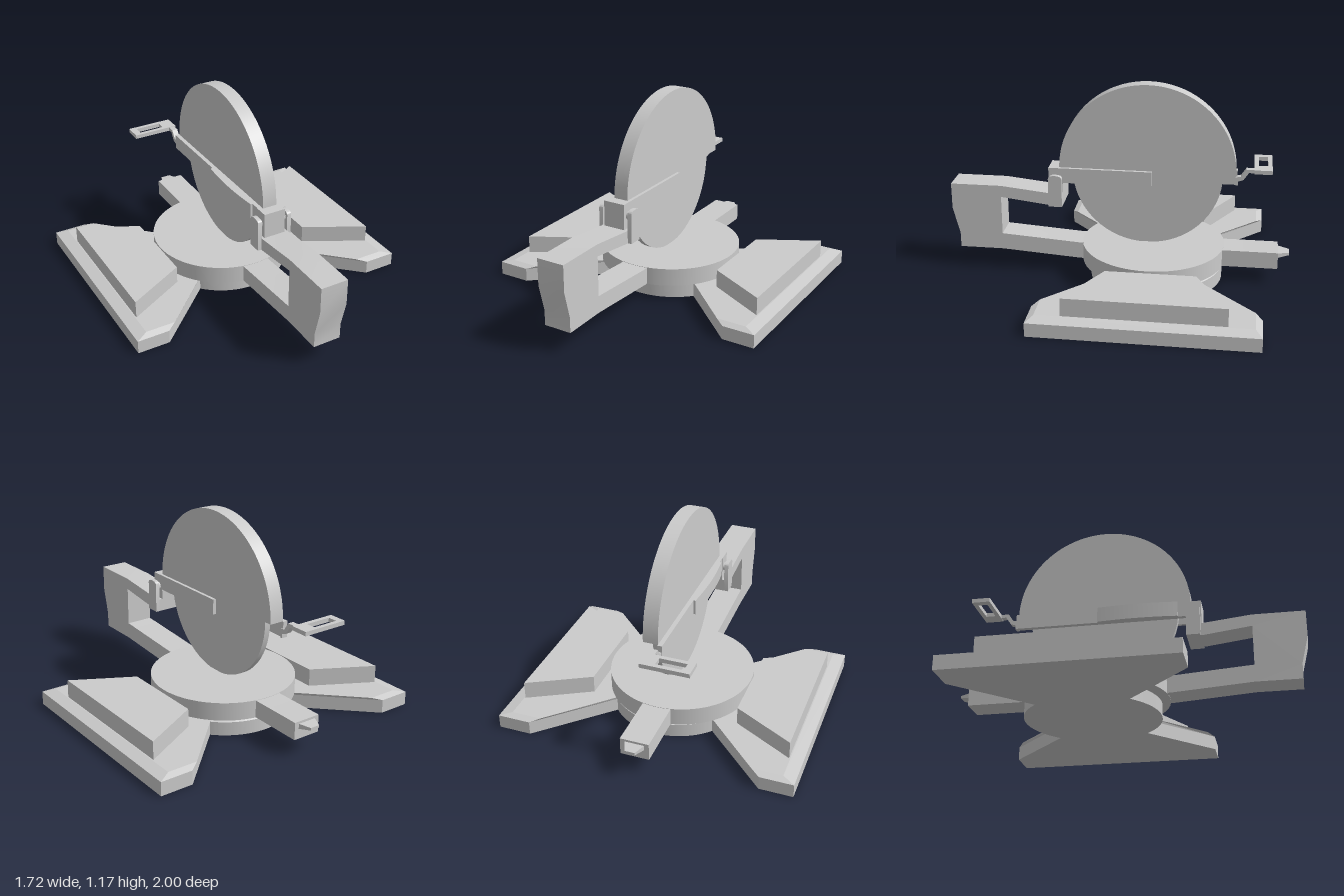
import * as THREE from 'three';
import { toCreasedNormals } from 'three/addons/utils/BufferGeometryUtils.js';

const material = new THREE.MeshStandardMaterial({ color: 0xcccccc });
const rad = THREE.MathUtils.degToRad;

const polygon = (points) => new THREE.Shape(points.map(([a, b]) => new THREE.Vector2(a, b)));

function extrude(shape, depth) {
  const options = { depth, bevelEnabled: false, curveSegments: 32 };
  return toCreasedNormals(new THREE.ExtrudeGeometry(shape, options), rad(25));
}

// Side profile drawn in (z, y), spanning x0..x1
function sideProfile(shape, x0, x1) {
  return extrude(shape, x1 - x0).rotateY(-Math.PI / 2).translate(x1, 0, 0);
}

// Plan outline drawn in (x, -z), spanning y0..y1
function planProfile(shape, y0, y1) {
  return extrude(shape, y1 - y0).rotateX(-Math.PI / 2).translate(0, y0, 0);
}

function box(x0, x1, y0, y1, z0, z1) {
  return new THREE.BoxGeometry(x1 - x0, y1 - y0, z1 - z0)
    .translate((x0 + x1) / 2, (y0 + y1) / 2, (z0 + z1) / 2);
}

export function createModel() {
  const group = new THREE.Group();
  const add = (name, geometry) => {
    const mesh = new THREE.Mesh(geometry, material);
    mesh.name = name;
    group.add(mesh);
    return mesh;
  };

  // Base plate: two wings joined by a round waist
  const outline = new THREE.Shape();
  outline.moveTo(0.86, 0.85);
  outline.lineTo(0.67, 0.85);
  outline.absarc(0, 0.22, 0.39, rad(42), rad(138), false);
  outline.lineTo(-0.67, 0.85);
  outline.lineTo(-0.86, 0.85);
  outline.lineTo(-0.86, -0.4);
  outline.lineTo(-0.67, -0.4);
  outline.absarc(0, 0.22, 0.39, rad(222), rad(318), false);
  outline.lineTo(0.67, -0.4);
  outline.lineTo(0.86, -0.4);
  add('basePlate', planProfile(outline, 0, 0.08));

  // Shallow slope on top of the plate, drawn in towards the middle
  const slope = planProfile(outline, 0.08, 0.095);
  const p = slope.attributes.position;
  for (let i = 0; i < p.count; i++) {
    if (p.getY(i) > 0.09) {
      p.setX(i, p.getX(i) * 0.92);
      p.setZ(i, -0.22 + (p.getZ(i) + 0.22) * 0.94);
    }
  }
  slope.computeVertexNormals();
  add('baseSlope', slope);

  // Raised work supports on both wings
  for (const s of [-1, 1]) {
    const points = [[0.785, 0.67], [0.435, 0.48], [0.435, -0.03], [0.785, -0.22]];
    add(s > 0 ? 'leftSupport' : 'rightSupport',
      planProfile(polygon(points.map(([x, y]) => [x * s, y])), 0.09, 0.2));
  }

  // Turntable
  add('turntable', new THREE.CylinderGeometry(0.42, 0.42, 0.105, 64).translate(-0.01, 0.1475, -0.2));

  // Arm: floor beam, front post and overhanging neck in one profile
  add('arm', sideProfile(polygon([
    [-0.935, 0.198], [-0.935, 0.097], [0.23, 0.097], [0.7, 0.13], [0.96, 0.13],
    [0.96, 0.22], [1, 0.38], [1, 0.535], [0.7, 0.535], [0.42, 0.505],
    [0.33, 0.505], [0.33, 0.43], [0.42, 0.43], [0.7, 0.465], [0.7, 0.23], [0.24, 0.198],
  ]), -0.09, 0.075));

  // Angle pointer at the back of the arm
  const pointer = box(-0.065, 0.05, 0.155, 0.185, -1, -0.93);
  const q = pointer.attributes.position;
  for (let i = 0; i < q.count; i++) {
    if (q.getZ(i) < -0.96) {
      q.setX(i, -0.0075 + (q.getX(i) + 0.0075) * 0.5);
      q.setY(i, 0.172 + (q.getY(i) - 0.17) * 0.5);
    }
  }
  pointer.computeVertexNormals();
  add('pointer', pointer);

  // Hinge ears with rounded tops, and the hinge block between them
  const ear = new THREE.Shape();
  ear.moveTo(0.33, 0.43);
  ear.lineTo(0.41, 0.43);
  ear.lineTo(0.41, 0.6);
  ear.quadraticCurveTo(0.41, 0.622, 0.37, 0.622);
  ear.quadraticCurveTo(0.33, 0.622, 0.33, 0.6);
  add('rightEar', sideProfile(ear, -0.113, -0.088));
  add('leftEar', sideProfile(ear, 0.075, 0.1));
  add('hingeBlock', box(-0.075, 0.055, 0.5, 0.655, 0.33, 0.415));
  add('hingePin', new THREE.CylinderGeometry(0.025, 0.025, 0.2, 24)
    .rotateZ(Math.PI / 2).translate(-0.0065, 0.58, 0.37));

  // Blade guard (upper half) and blade
  const half = new THREE.Shape();
  half.absarc(-0.16, 0.655, 0.513, 0, Math.PI, false);
  add('bladeGuard', sideProfile(half, -0.048, 0.037));
  add('blade', new THREE.CylinderGeometry(0.438, 0.438, 0.035, 64)
    .rotateZ(Math.PI / 2).translate(-0.006, 0.635, -0.16));

  // Head bars either side of the guard
  add('rightBar', box(-0.073, -0.045, 0.565, 0.655, -0.68, 0.36));
  add('leftBar', box(0.035, 0.055, 0.565, 0.655, -0.19, 0.36));

  // Bulged cover on the long bar
  const cover = new THREE.Shape();
  cover.moveTo(-0.07, 0.19);
  cover.lineTo(-0.085, 0.19);
  cover.quadraticCurveTo(-0.112, -0.04, -0.085, -0.28);
  cover.lineTo(-0.07, -0.28);
  add('barCover', planProfile(cover, 0.565, 0.655));

  // Handle: cranked link and a rectangular loop
  add('handleLink', sideProfile(polygon([
    [-0.67, 0.565], [-0.67, 0.615], [-0.7, 0.62], [-0.73, 0.665], [-0.8, 0.665],
    [-0.8, 0.645], [-0.745, 0.645], [-0.715, 0.6], [-0.685, 0.59], [-0.685, 0.565],
  ]), -0.07, -0.035));
  const loop = polygon([[-0.3, 0.775], [-0.025, 0.775], [-0.025, 0.88], [-0.3, 0.88]]);
  loop.holes.push(polygon([[-0.26, 0.8], [-0.26, 0.855], [-0.105, 0.855], [-0.105, 0.8]]));
  add('handleLoop', planProfile(loop, 0.643, 0.667));

  return group;
}
